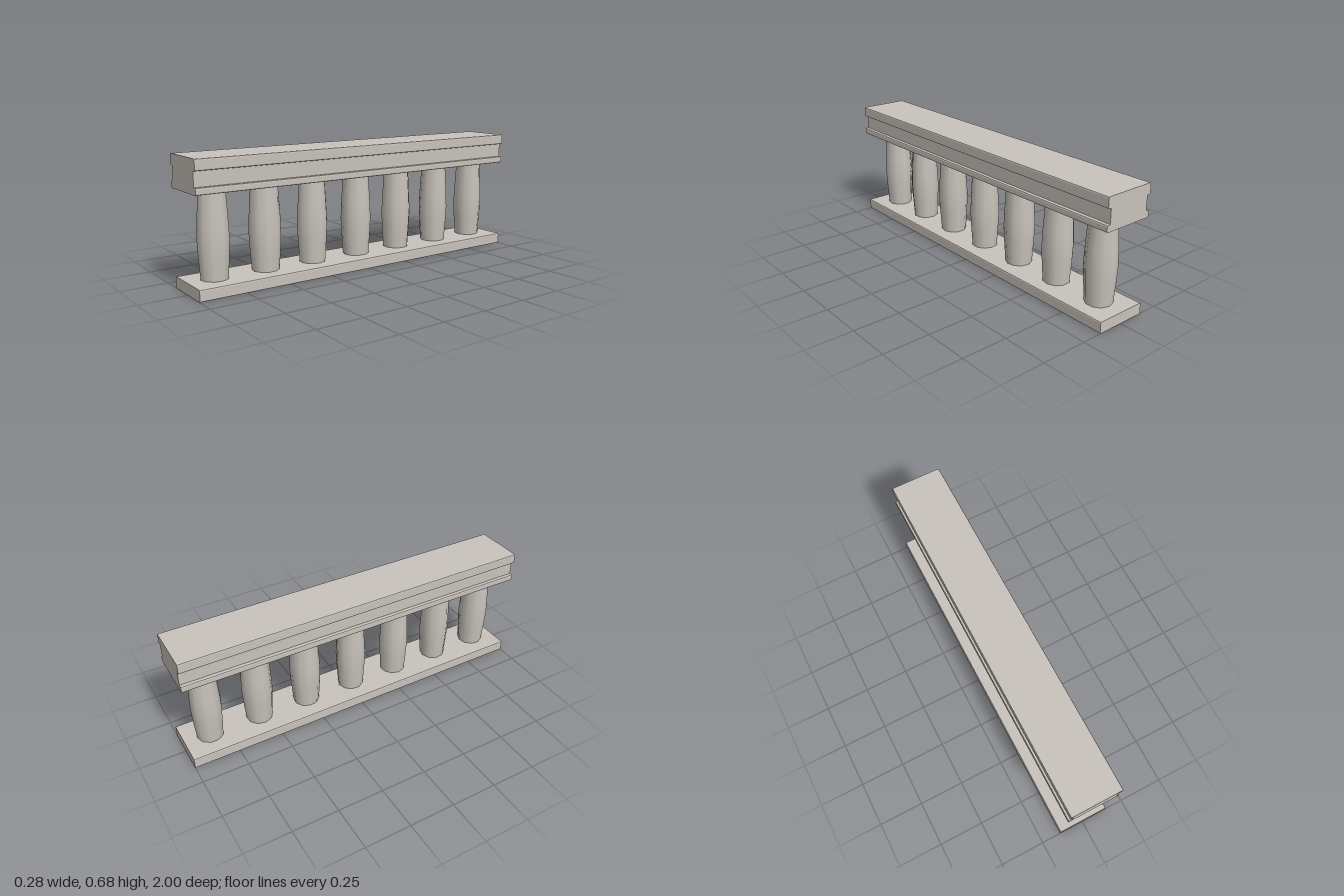
import * as THREE from 'three';

const LENGTH = 2;
const COUNT = 7;

// Mirrored rail cross-section (right half, bottom to top), extruded along z
function rail(name, half, material) {
  const left = half.map(([x, y]) => [-x, y]).reverse();
  const shape = new THREE.Shape([...half, ...left].map(([x, y]) => new THREE.Vector2(x, y)));
  const geometry = new THREE.ExtrudeGeometry(shape, { depth: LENGTH, bevelEnabled: false });
  geometry.translate(0, 0, -LENGTH / 2);
  const mesh = new THREE.Mesh(geometry, material);
  mesh.name = name;
  return mesh;
}

// Right side of a slab with softened outer corners
function softEdge(w, y0, y1) {
  const c = 0.007, k = 0.002;
  return [
    [w - c, y0], [w - k, y0 + k], [w, y0 + c],
    [w, y1 - c], [w - k, y1 - k], [w - c, y1],
  ];
}

export function createModel() {
  const group = new THREE.Group();
  group.name = 'balustrade';
  const stone = new THREE.MeshStandardMaterial({ color: 0xc8c3bb });
  stone.name = 'pale stone';

  // Base plinth
  group.add(rail('basePlinth', softEdge(0.142, 0, 0.061), stone));

  // Handrail: lower lip, recessed band and thick cap
  group.add(rail('handrail', [
    ...softEdge(0.142, 0.507, 0.543),
    [0.123, 0.543], [0.123, 0.62],
    ...softEdge(0.142, 0.62, 0.677),
  ], stone));

  // Evenly spaced swelling balusters, each turned a little
  const profile = [
    [0.071, 0.058], [0.079, 0.175], [0.083, 0.262], [0.0795, 0.345], [0.07, 0.51],
  ].map(([r, y]) => new THREE.Vector2(r, y));
  const geometry = new THREE.LatheGeometry(profile, 10);
  const spacing = LENGTH / COUNT;
  for (let i = 0; i < COUNT; i++) {
    const baluster = new THREE.Mesh(geometry, stone);
    baluster.name = `baluster${i + 1}`;
    baluster.position.z = (i - (COUNT - 1) / 2) * spacing;
    baluster.rotation.y = i * 0.4;
    group.add(baluster);
  }
  return group;
}
